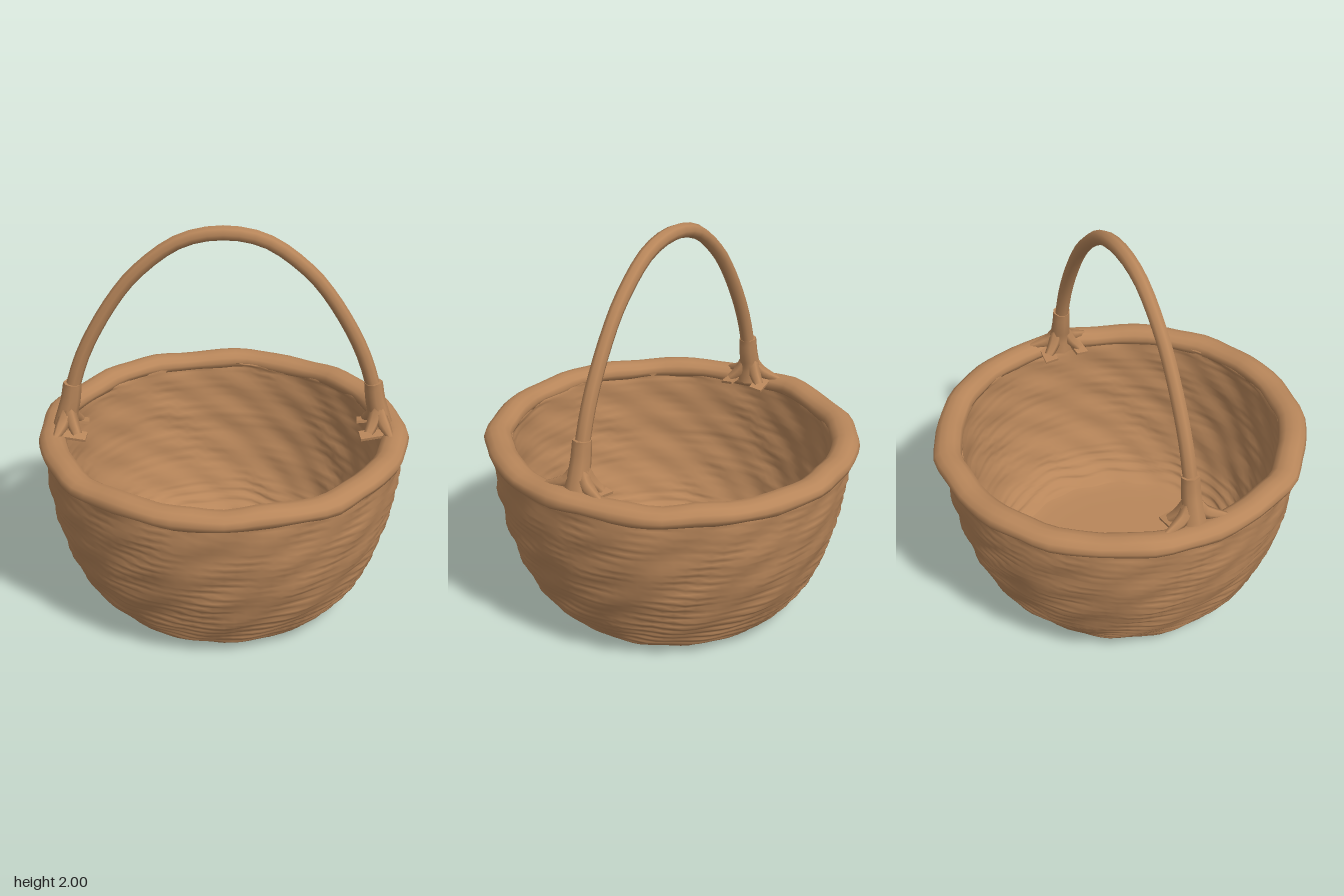
import * as THREE from 'three';
import { mergeVertices } from 'three/addons/utils/BufferGeometryUtils.js';

const wicker = new THREE.MeshStandardMaterial({ color: 0xb8865a });
wicker.name = 'wicker brown';

const V = (x, y, z) => new THREE.Vector3(x, y, z);

function part(name, geometry) {
  const mesh = new THREE.Mesh(geometry, wicker);
  mesh.name = name;
  return mesh;
}

// Moves every vertex by a rule, welds the seams and smooths the normals.
function reshape(geometry, rule) {
  const p = geometry.attributes.position;
  const v = V(0, 0, 0);
  for (let i = 0; i < p.count; i++) {
    rule(v.fromBufferAttribute(p, i));
    p.setXYZ(i, v.x, v.y, v.z);
  }
  geometry.deleteAttribute('uv');
  geometry.deleteAttribute('normal');
  const welded = mergeVertices(geometry, 1e-4);
  welded.computeVertexNormals();
  return welded;
}

// Samples a smooth wall profile at even steps.
function wall(points, steps) {
  return new THREE.SplineCurve(points.map(([r, y]) => new THREE.Vector2(r, y))).getPoints(steps);
}

// Tube whose radius changes along its length.
function taperedTube(points, radii, segments, sides) {
  const curve = new THREE.CatmullRomCurve3(points);
  const geometry = new THREE.TubeGeometry(curve, segments, 1, sides);
  const p = geometry.attributes.position;
  const v = V(0, 0, 0);
  for (let i = 0; i <= segments; i++) {
    const t = (i / segments) * (radii.length - 1);
    const k = Math.min(Math.floor(t), radii.length - 2);
    const r = THREE.MathUtils.lerp(radii[k], radii[k + 1], t - k);
    const c = curve.getPointAt(i / segments);
    for (let j = 0; j <= sides; j++) {
      const n = i * (sides + 1) + j;
      v.fromBufferAttribute(p, n).sub(c).multiplyScalar(r).add(c);
      p.setXYZ(n, v.x, v.y, v.z);
    }
  }
  return reshape(geometry, () => {});
}

// Round bowl with a thick wall, roughened by woven rows.
function basketBody() {
  const outer = wall([[0.58, 0.005], [0.63, 0.04], [0.70, 0.12], [0.765, 0.22], [0.825, 0.37],
    [0.87, 0.54], [0.898, 0.72], [0.91, 0.9]], 64);
  const inner = wall([[0.82, 0.9], [0.805, 0.7], [0.77, 0.45], [0.70, 0.22], [0.62, 0.1], [0.56, 0.06]], 48);
  const base = [0, 0.2, 0.4, 0.53].map(r => new THREE.Vector2(r, 0));
  const floor = [0.5, 0.35, 0.2, 0].map(r => new THREE.Vector2(r, 0.05));
  const geometry = new THREE.LatheGeometry([...base, ...outer, ...inner, ...floor], 96);
  return reshape(geometry, v => {
    const r = Math.hypot(v.x, v.z);
    if (r < 0.55) return;
    const a = Math.atan2(v.z, v.x);
    const y = v.y;
    const weave = 0.006 * Math.sin(y * 140 + 1.5 * Math.sin(a * 5) + Math.sin(a * 11 + y * 9));
    const lumps = 0.005 * Math.sin(a * 7 + y * 13) * Math.sin(a * 4 - y * 21)
      + 0.004 * Math.sin(a * 17 + y * 30);
    const s = 1 + (weave + lumps) / r;
    v.x *= s;
    v.z *= s;
  });
}

// Uneven rolled rim.
function rim() {
  const geometry = new THREE.TorusGeometry(0.866, 0.07, 12, 72);
  geometry.rotateX(Math.PI / 2);
  return reshape(geometry, v => {
    const a = Math.atan2(v.z, v.x);
    const s = 1 + 0.005 * Math.sin(a * 13 + 1) + 0.005 * Math.sin(a * 8) + 0.003 * Math.sin(a * 21);
    v.x *= s;
    v.z *= s * 1.02;
    v.y = 0.9 + v.y * (0.72 + 0.06 * Math.sin(a * 15)) + 0.005 * Math.sin(a * 9 + 2);
  });
}

// Socket, splayed strands and inner tabs that fix one handle end (+x side).
function handleMount() {
  const mount = new THREE.Group();
  mount.add(part('socket', taperedTube(
    [V(0.757, 1.17, 0), V(0.77, 1.08, 0), V(0.79, 1.0, 0), V(0.8, 0.92, 0)],
    [0.047, 0.05, 0.054, 0.07], 8, 8)));
  const cap = part('socketCap', new THREE.CylinderGeometry(0.046, 0.046, 0.012, 8));
  cap.position.set(0.757, 1.167, 0);
  cap.rotation.z = 0.12;
  mount.add(cap);
  for (const side of [-1, 1]) {
    mount.add(part('rimStrand', taperedTube(
      [V(0.79, 1.02, side * 0.02), V(0.81, 0.97, side * 0.06), V(0.84, 0.935, side * 0.16)],
      [0.035, 0.032, 0.015], 6, 6)));
    mount.add(part('innerStrand', taperedTube(
      [V(0.78, 1.03, side * 0.02), V(0.76, 0.97, side * 0.05), V(0.735, 0.925, side * 0.09)],
      [0.035, 0.032, 0.025], 6, 6)));
    const tab = part('innerTab', new THREE.BoxGeometry(0.13, 0.014, 0.07));
    tab.position.set(0.755, 0.92, side * 0.085);
    tab.rotation.set(side * 0.15, side * 0.1, 0.12);
    mount.add(tab);
  }
  return mount;
}

export function createModel() {
  const basket = new THREE.Group();
  basket.name = 'basket';
  basket.add(part('basketBody', basketBody()), part('rim', rim()));

  // Arched handle
  const half = [[0.765, 1.1], [0.742, 1.2], [0.68, 1.37], [0.545, 1.61], [0.42, 1.765], [0.21, 1.92]];
  const arch = [
    ...half.map(([x, y]) => V(-x, y, 0)),
    V(0, 1.962, 0),
    ...half.reverse().map(([x, y]) => V(x, y, 0)),
  ];
  basket.add(part('handle', taperedTube(arch, [0.037, 0.035, 0.038, 0.035, 0.037], 32, 8)));

  // A mount at each end of the handle
  for (const [name, turn] of [['leftMount', 0], ['rightMount', Math.PI]]) {
    const mount = handleMount();
    mount.name = name;
    mount.rotation.y = turn;
    basket.add(mount);
  }
  return basket;
}
